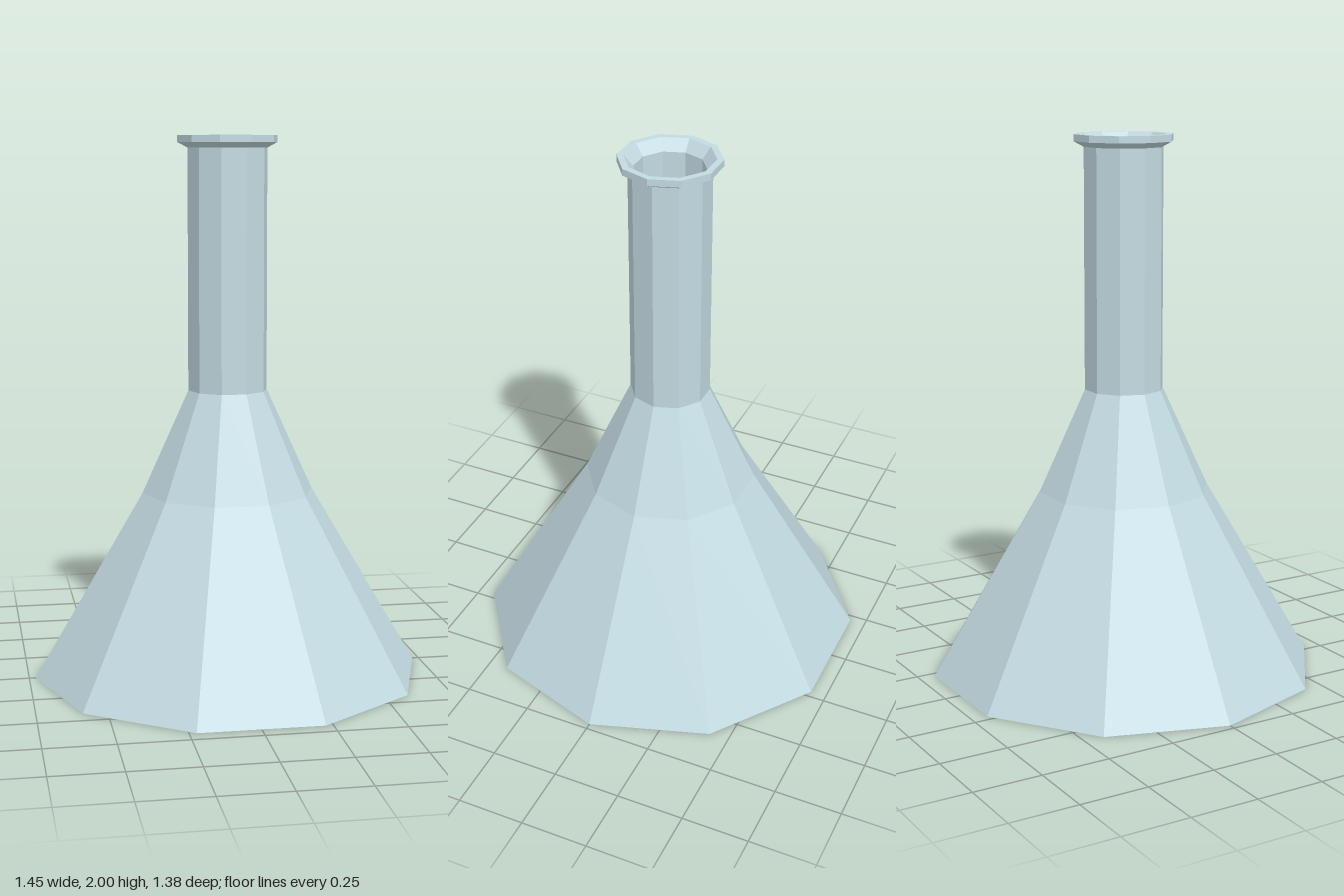
import * as THREE from 'three';

const SIDES = 10;

export function createModel() {
  const flask = new THREE.Group();
  flask.name = 'conicalFlask';
  const glass = new THREE.MeshStandardMaterial({ color: 0xc3dbe2, flatShading: true });

  // Ten-sided turned part with a corner on the x axis; profile is [radius, height]
  const turned = (name, profile) => {
    const points = profile.map(([r, y]) => new THREE.Vector2(r, y));
    const mesh = new THREE.Mesh(new THREE.LatheGeometry(points, SIDES, Math.PI / 2), glass);
    mesh.name = name;
    flask.add(mesh);
  };

  // Flat base and two-slope cone
  turned('body', [[0, 0], [0.726, 0], [0.32, 0.69], [0.147, 1.07]]);

  // Straight neck
  turned('neck', [[0.147, 1.07], [0.147, 1.955]]);

  // Flared lip with a bevelled mouth
  turned('lip', [[0.147, 1.955], [0.184, 1.975], [0.184, 2], [0.16, 2], [0.127, 1.96]]);

  // Hollow inside, from the mouth down to the floor
  turned('innerWall', [[0.127, 1.96], [0.127, 1.07], [0.3, 0.69], [0.69, 0.02], [0, 0.02]]);

  return flask;
}
